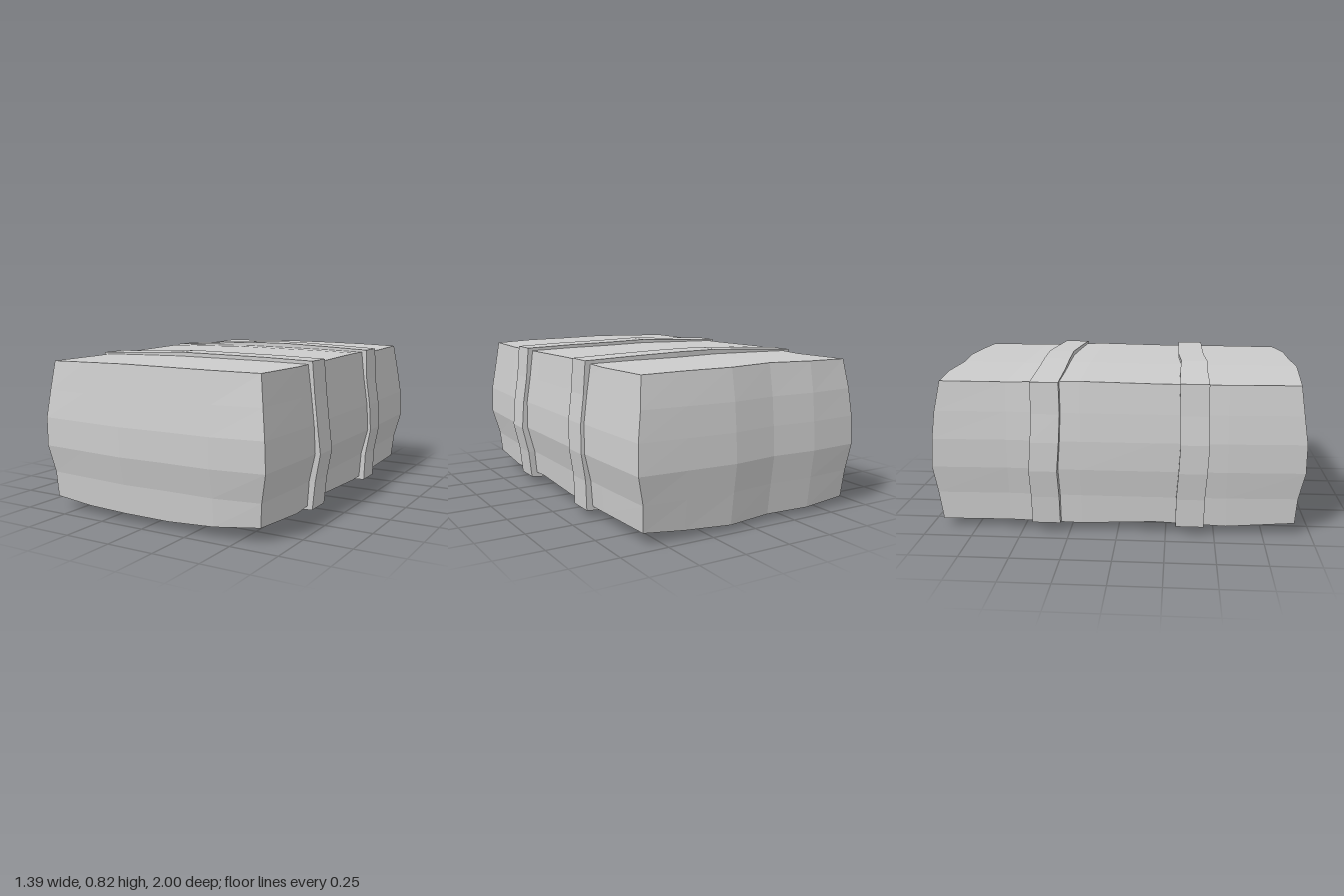
import * as THREE from 'three';

const material = new THREE.MeshStandardMaterial({ color: 0xcccccc, flatShading: true });
const N = 5; // segments per side of the bale

// Regular grid lines; outer entries are replaced by the bulging rules below
const GX = [-0.62, -0.38, -0.13, 0.12, 0.38, 0.62];
const GY = [0.05, 0.2, 0.345, 0.495, 0.64, 0.79];
const GZ = [-0.94, -0.57, -0.19, 0.19, 0.56, 0.94];

// Each face position = profile along one axis + small offset along the other
const bale = {
  right: { y: [0.615, 0.625, 0.66, 0.655, 0.635, 0.615], z: [-0.02, -0.005, 0, 0, 0.01, -0.005] },
  left: { y: [0.63, 0.635, 0.655, 0.655, 0.64, 0.62], z: [0.005, -0.005, 0.005, 0.005, 0, -0.015] },
  top: { x: [0.79, 0.795, 0.8, 0.797, 0.795, 0.79], z: [0.003, 0, 0.01, 0.003, 0, 0] },
  bottom: { x: [0.05, 0.035, 0.035, 0.03, 0.045, 0.065], z: [0, 0, -0.005, 0.012, -0.005, 0.015] },
  front: { x: [-0.03, -0.01, 0.01, 0, 0, -0.04], y: [0.945, 0.955, 0.985, 0.985, 0.965, 0.945] },
  back: { x: [-0.02, 0, -0.015, 0.015, 0, -0.015], y: [0.945, 0.965, 0.985, 0.975, 0.96, 0.93] },
};

// Moves every vertex of a unit box by a rule on its grid indices
function warpedBox(nz, rule) {
  const g = new THREE.BoxGeometry(1, 1, 1, N, N, nz);
  const p = g.attributes.position;
  for (let v = 0; v < p.count; v++) {
    const i = Math.round((p.getX(v) + 0.5) * N);
    const j = Math.round((p.getY(v) + 0.5) * N);
    const k = Math.round((p.getZ(v) + 0.5) * nz);
    p.setXYZ(v, ...rule(i, j, k));
  }
  g.computeVertexNormals();
  return g;
}

// Lumpy bale body
function balePoint(i, j, k) {
  const { right, left, top, bottom, front, back } = bale;
  let x = GX[i], y = GY[j], z = GZ[k];
  if (i === N) x = right.y[j] + right.z[k];
  if (i === 0) x = -(left.y[j] + left.z[k]);
  if (j === N) y = top.x[i] + top.z[k];
  if (j === 0) y = bottom.x[i] + bottom.z[k];
  if (k === N) z = front.x[i] + front.y[j];
  if (k === 0) z = -(back.x[i] + back.y[j]);
  return [x, y, z];
}

// Strap bands: a slightly larger section, swaying along z
const straps = [
  {
    name: 'frontStrap', z: 0.382, halfWidth: 0.073,
    swayX: [0.002, 0, 0.006, -0.01, -0.012, -0.012],
    swayY: [-0.01, -0.008, 0.002, 0.01, 0.003, 0.003],
    right: [0.65, 0.665, 0.695, 0.68, 0.66, 0.645],
    left: [0.665, 0.67, 0.69, 0.69, 0.67, 0.655],
    top: [0.8, 0.81, 0.822, 0.818, 0.815, 0.808],
    bottom: [0.05, 0.018, 0.02, 0.003, 0.02, 0.05],
  },
  {
    name: 'backStrap', z: -0.375, halfWidth: 0.073,
    swayX: [0.005, 0, -0.01, -0.022, -0.01, 0.003],
    swayY: [0, -0.002, -0.008, 0.003, 0.008, 0.003],
    right: [0.645, 0.65, 0.675, 0.67, 0.65, 0.64],
    left: [0.67, 0.68, 0.7, 0.695, 0.675, 0.66],
    top: [0.8, 0.815, 0.828, 0.828, 0.82, 0.81],
    bottom: [0.055, 0.015, 0.022, 0.015, 0.025, 0.045],
  },
];

function strapPoint(s, i, j, k) {
  let x = GX[i], y = GY[j];
  if (i === N) x = s.right[j];
  if (i === 0) x = -s.left[j];
  if (j === N) y = s.top[i];
  if (j === 0) y = s.bottom[i];
  const sway = s.swayX[i] + s.swayY[j];
  return [x, y, s.z + sway + (k ? 1 : -1) * s.halfWidth];
}

export function createModel() {
  const group = new THREE.Group();
  group.name = 'strappedBale';

  const add = (name, geometry) => {
    const mesh = new THREE.Mesh(geometry, material);
    mesh.name = name;
    group.add(mesh);
  };

  add('baleBody', warpedBox(N, balePoint));
  for (const s of straps) add(s.name, warpedBox(1, (i, j, k) => strapPoint(s, i, j, k)));
  return group;
}
